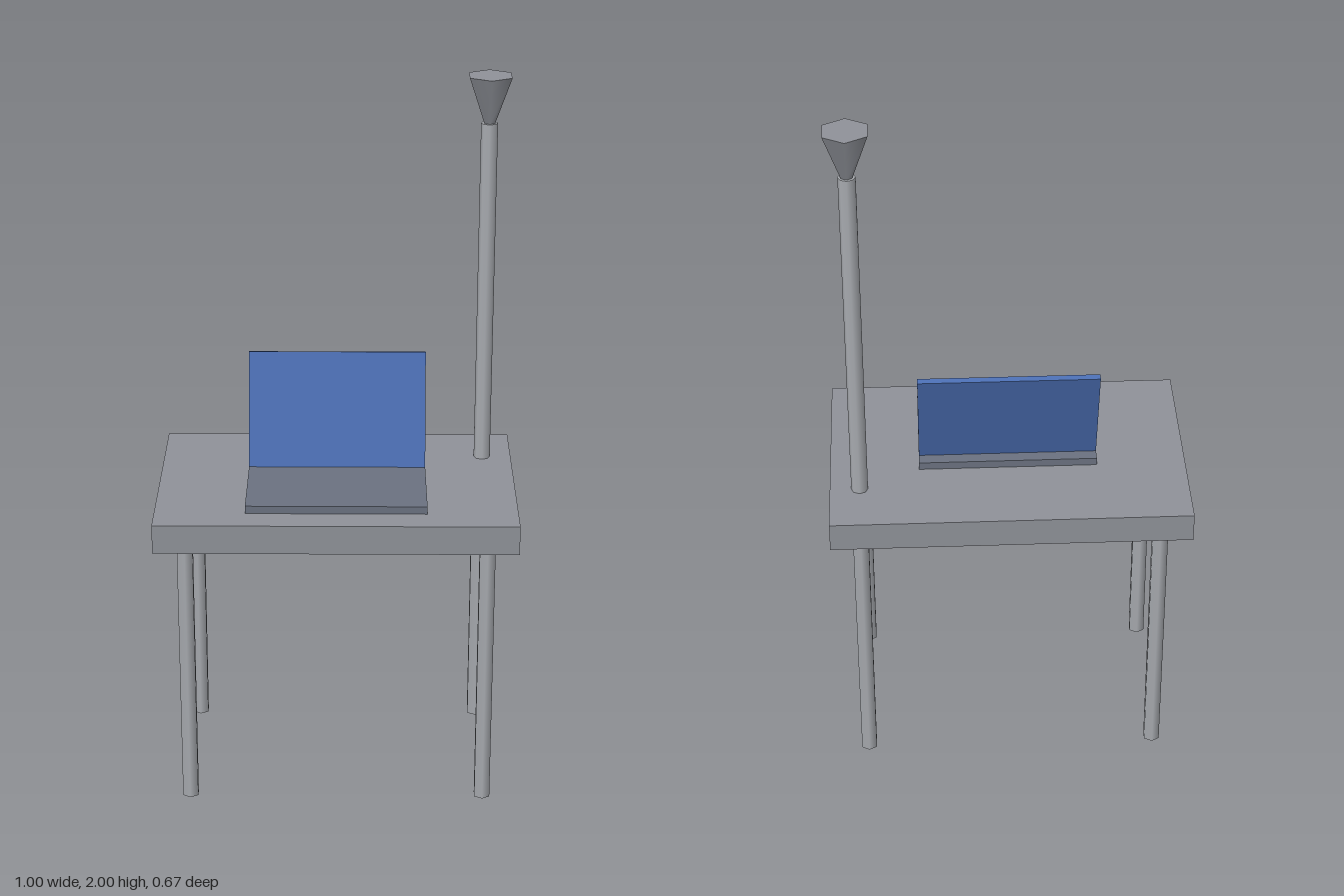
import * as THREE from 'three';

const material = (color) => new THREE.MeshStandardMaterial({ color });

export function createModel() {
  const model = new THREE.Group();
  const tableGrey = material(0x8f9299);
  const poleGrey = material(0xa8abb0);
  const slate = material(0x6b7280);
  const blue = material(0x4b6eb2);

  const add = (parent, name, geometry, mat, x, y, z) => {
    const mesh = new THREE.Mesh(geometry, mat);
    mesh.name = name;
    mesh.position.set(x, y, z);
    parent.add(mesh);
    return mesh;
  };

  // Table: slab on four slim legs
  const table = new THREE.Group();
  table.name = 'table';
  model.add(table);
  add(table, 'tableTop', new THREE.BoxGeometry(1, 0.083, 0.667), tableGrey, 0, 0.836, 0);
  const legGeometry = new THREE.CylinderGeometry(0.025, 0.025, 0.795, 6);
  for (const [side, x] of [['Left', 0.417], ['Right', -0.417]]) {
    for (const [end, z] of [['front', 0.25], ['back', -0.25]]) {
      add(table, `${end}${side}Leg`, legGeometry, poleGrey, x, 0.3975, z);
    }
  }

  // Laptop: flat base with a screen leaning back
  const laptop = new THREE.Group();
  laptop.name = 'laptop';
  model.add(laptop);
  add(laptop, 'laptopBase', new THREE.BoxGeometry(0.5, 0.023, 0.333), slate, 0, 0.888, 0.083);
  const screen = add(laptop, 'laptopScreen', new THREE.BoxGeometry(0.5, 0.333, 0.0167), blue, 0, 1.051, -0.085);
  screen.rotation.x = -0.3;

  // Lamp: tall pole with a flared hexagonal head
  const lamp = new THREE.Group();
  lamp.name = 'lamp';
  lamp.position.set(0.417, 0, -0.167);
  model.add(lamp);
  add(lamp, 'lampPole', new THREE.CylinderGeometry(0.0233, 0.0233, 0.99, 8), poleGrey, 0, 1.372, 0);
  add(lamp, 'lampHead', new THREE.CylinderGeometry(0.0667, 0.0167, 0.1333, 6), tableGrey, 0, 1.9333, 0);

  return model;
}
